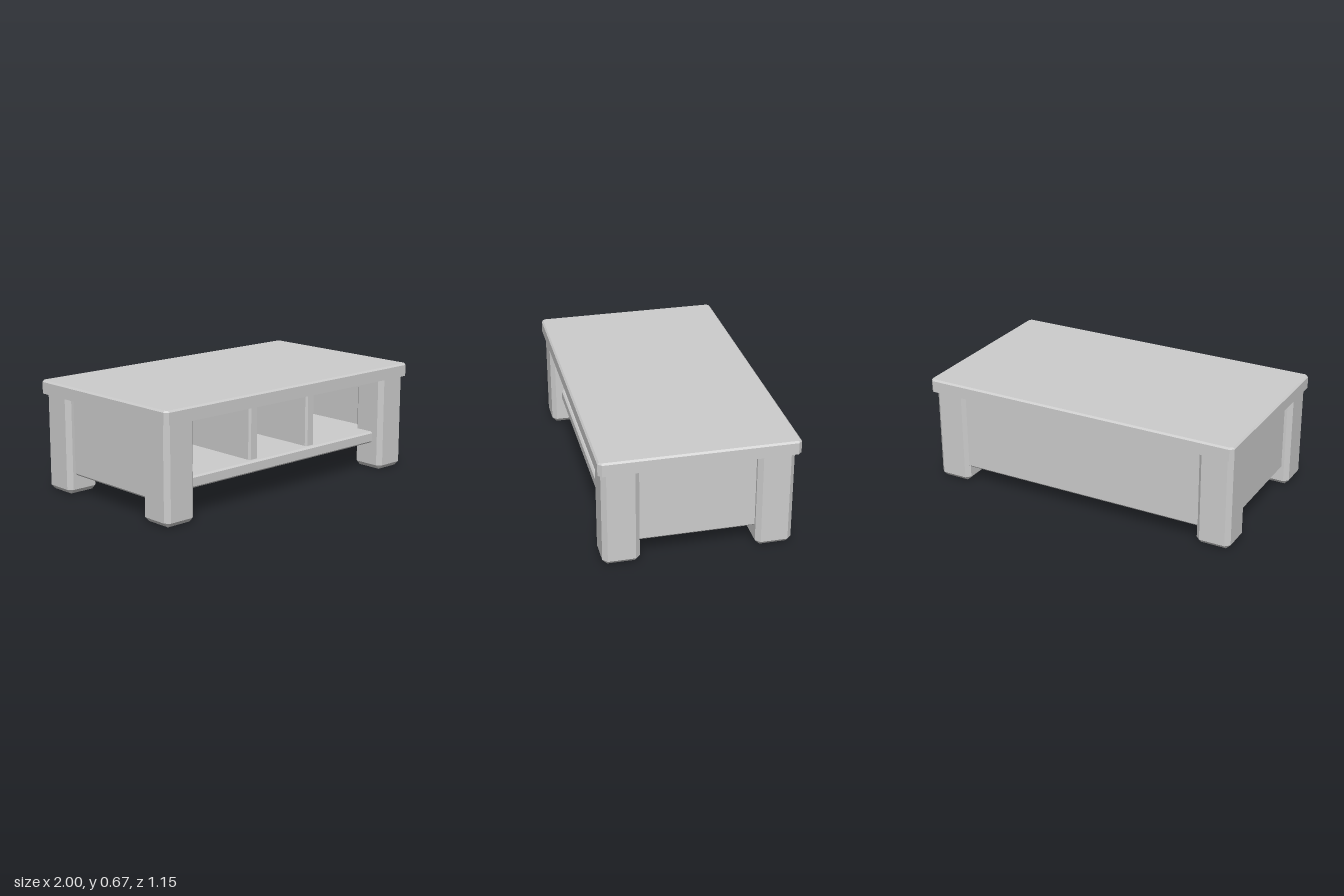
import * as THREE from 'three';

// Octagon (rectangle with cut corners), counter-clockwise seen from above
function ring(w, d, c, y) {
  return [
    [w, -(d - c)], [w - c, -d], [c - w, -d], [-w, -(d - c)],
    [-w, d - c], [c - w, d], [w - c, d], [w, d - c],
  ].map(([x, z]) => [x, y, z]);
}

// Block between min and max corners; separate chamfers for uprights, bottom and top edges
function chamferedBlock([x0, y0, z0], [x1, y1, z1], side, bottom, top) {
  const w = (x1 - x0) / 2, d = (z1 - z0) / 2;
  const levels = [];
  if (bottom > 0) levels.push([y0, bottom]);
  levels.push([y0 + bottom, 0], [y1 - top, 0]);
  if (top > 0) levels.push([y1, top]);
  const rings = levels.map(([y, inset]) =>
    ring(w - inset, d - inset, Math.max(0, side - inset), y));

  const pos = [];
  const tri = (a, b, c) => pos.push(...a, ...b, ...c);
  for (let r = 0; r < rings.length - 1; r++) {
    for (let i = 0; i < 8; i++) {
      const j = (i + 1) % 8, lo = rings[r], hi = rings[r + 1];
      tri(lo[i], lo[j], hi[j]);
      tri(lo[i], hi[j], hi[i]);
    }
  }
  const base = rings[0], lid = rings[rings.length - 1];
  for (let i = 1; i < 7; i++) {
    tri(base[0], base[i + 1], base[i]);
    tri(lid[0], lid[i], lid[i + 1]);
  }
  const geo = new THREE.BufferGeometry();
  geo.setAttribute('position', new THREE.Float32BufferAttribute(pos, 3));
  geo.translate((x0 + x1) / 2, 0, (z0 + z1) / 2);
  geo.computeVertexNormals();
  return geo;
}

export function createModel() {
  const group = new THREE.Group();
  group.name = 'coffeeTable';
  const grey = new THREE.MeshStandardMaterial({ color: 0xcccccc, flatShading: true });
  grey.name = 'light grey';

  const add = (name, min, max, side, bottom, top) => {
    const mesh = new THREE.Mesh(chamferedBlock(min, max, side, bottom, top), grey);
    mesh.name = name;
    group.add(mesh);
  };

  // Table top, with cut corners and a slim top bevel
  add('tableTop', [-1, 0.585, -0.575], [1, 0.665, 0.575], 0.022, 0, 0.01);

  // Four chunky legs with chamfered feet
  for (const [label, s] of [['left', 1], ['right', -1]]) {
    const x0 = s > 0 ? 0.773 : -0.984;
    add(label + 'FrontLeg', [x0, 0, 0.341], [x0 + 0.211, 0.59, 0.556], 0.027, 0.028, 0);
    add(label + 'BackLeg', [x0, 0, -0.544], [x0 + 0.211, 0.59, -0.331], 0.027, 0.028, 0);

    // Side panel and inner divider
    const p0 = s > 0 ? 0.865 : -0.94;
    add(label + 'SidePanel', [p0, 0.115, -0.45], [p0 + 0.075, 0.59, 0.45], 0.012, 0.012, 0);
    const d0 = s > 0 ? 0.202 : -0.272;
    add(label + 'Divider', [d0, 0.235, -0.46], [d0 + 0.07, 0.59, 0.46], 0.012, 0, 0);
  }

  // Back panel and lower shelf
  add('backPanel', [-0.87, 0.097, -0.523], [0.87, 0.59, -0.45], 0.012, 0.012, 0);
  add('shelf', [-0.87, 0.17, -0.46], [0.87, 0.241, 0.49], 0.01, 0.01, 0.01);

  return group;
}
